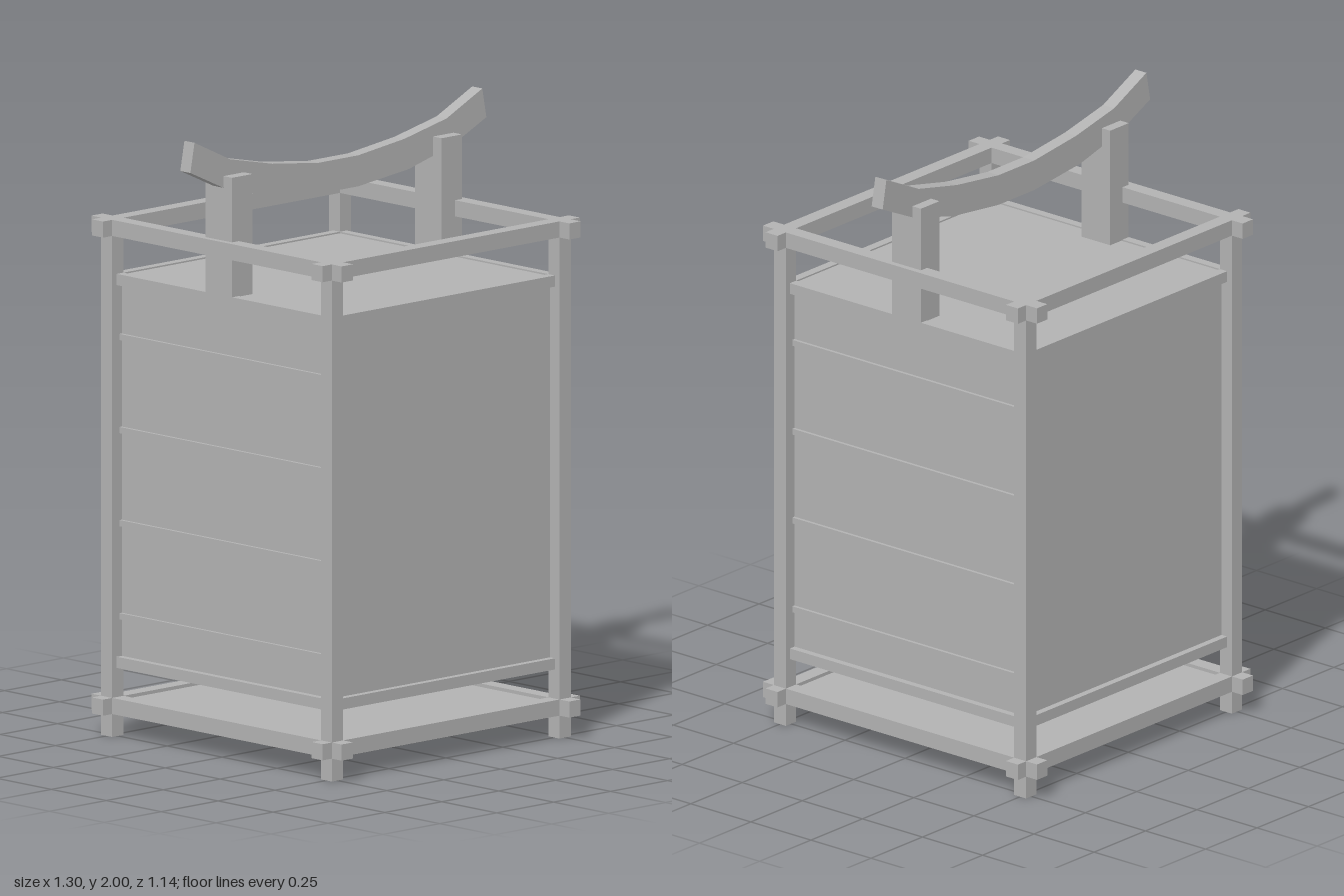
import * as THREE from 'three';

export function createModel() {
  const group = new THREE.Group();
  const grey = new THREE.MeshStandardMaterial({ color: 0xb2b2b2 });
  grey.name = 'grey';

  // Box given by its size and centre
  function box(name, w, h, d, x, y, z, parent = group) {
    const mesh = new THREE.Mesh(new THREE.BoxGeometry(w, h, d), grey);
    mesh.name = name;
    mesh.position.set(x, y, z);
    parent.add(mesh);
    return mesh;
  }

  // Corner posts
  for (const x of [-0.5, 0.5]) {
    for (const z of [-0.5, 0.5]) box('cornerPost', 0.05, 1.666, 0.05, x, 0.833, z);
  }

  // Crossing beams of the top and bottom frames
  for (const [level, y] of [['bottom', 0.1], ['top', 1.641]]) {
    for (const s of [-0.5, 0.5]) {
      box(level + 'BeamAcross', 1.13, 0.052, 0.05, 0, y, s);
      box(level + 'BeamAlong', 0.05, 0.052, 1.14, s, y, 0);
    }
  }

  // Floor plate and lantern body
  box('floorPlate', 0.96, 0.03, 0.96, 0, 0.1, 0);
  box('body', 0.965, 1.26, 0.965, 0, 0.855, 0);

  // Rails along the upper and lower edges of the body
  for (const y of [0.238, 1.472]) {
    for (const s of [-0.49, 0.49]) {
      box('railAcross', 0.96, 0.036, 0.03, 0, y, s);
      box('railAlong', 0.03, 0.036, 0.96, s, y, 0);
    }
  }

  // Thin horizontal slats on the two sides
  for (const x of [-0.485, 0.485]) {
    for (let i = 0; i < 4; i++) box('sideSlat', 0.016, 0.02, 0.96, x, 0.385 + i * 0.3, 0);
  }

  // Handle supports
  for (const x of [-0.46, 0.46]) box('handleSupport', 0.09, 0.387, 0.12, x, 1.6815, -0.01);

  // Curved handle: faceted arc, mirrored about x = 0
  const top = [[0.087, 1.86], [0.29, 1.885], [0.475, 1.925], [0.632, 2.0]];
  const bottom = [[0.087, 1.76], [0.31, 1.785], [0.5, 1.835], [0.65, 1.905]];
  const mirror = (list) => list.map(([x, y]) => [-x, y]);
  const outline = [
    ...mirror(bottom).reverse(), ...bottom,
    ...[...top].reverse(), ...mirror(top),
  ].map(([x, y]) => new THREE.Vector2(x, y));
  const handle = new THREE.Mesh(
    new THREE.ExtrudeGeometry(new THREE.Shape(outline), { depth: 0.046, bevelEnabled: false }),
    grey,
  );
  handle.name = 'handle';
  handle.position.z = -0.035;
  group.add(handle);

  return group;
}
